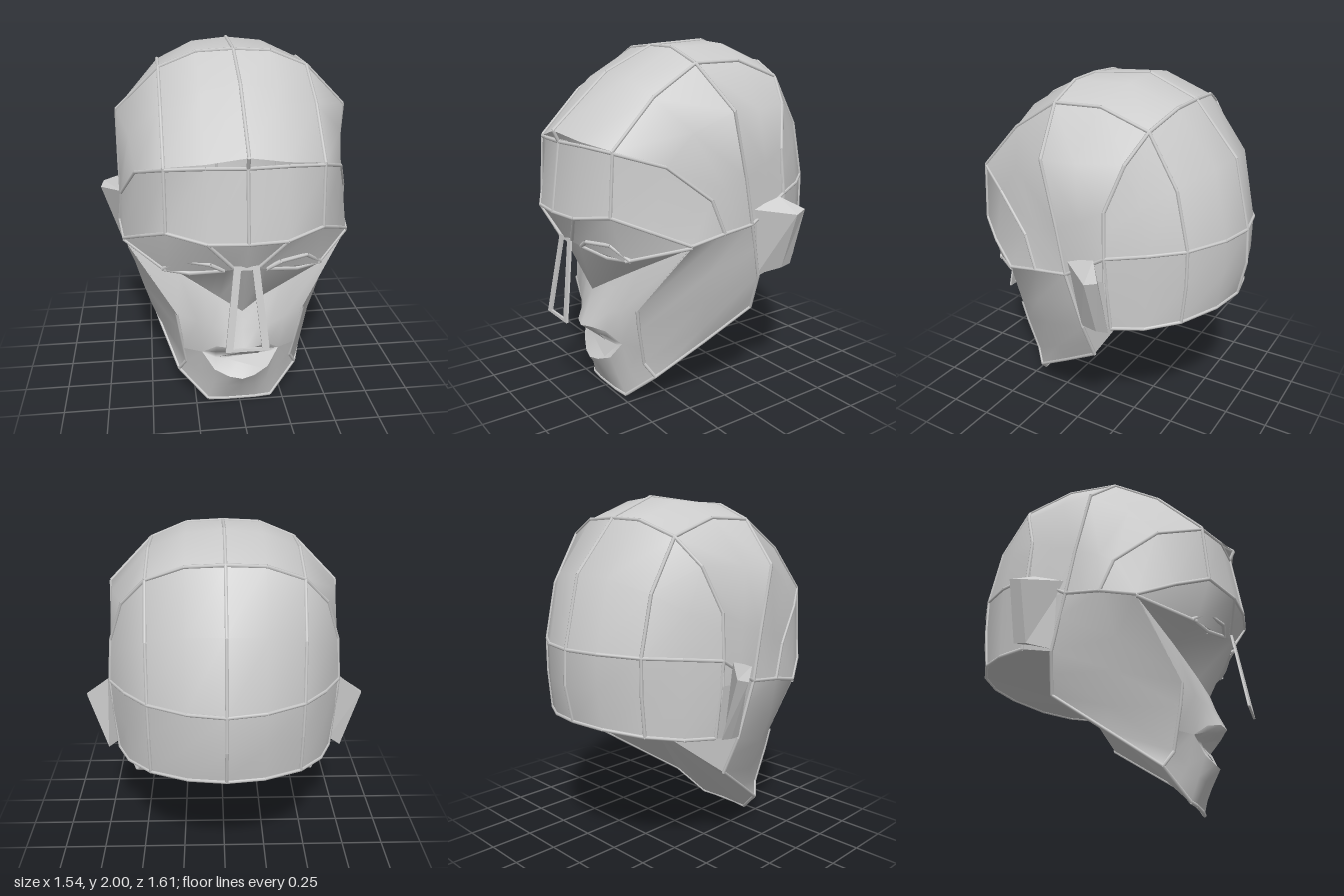
import * as THREE from 'three';
import { mergeGeometries } from 'three/addons/utils/BufferGeometryUtils.js';

const mat = new THREE.MeshStandardMaterial({ color: 0xcccccc, side: THREE.DoubleSide });
const flat = new THREE.MeshStandardMaterial({ color: 0xcccccc, side: THREE.DoubleSide, flatShading: true });
const flip = p => [-p[0], p[1], p[2]];
// half row (midline outwards) -> full row from right to left
const full = row => [...row.slice(1).reverse().map(flip), ...row];

// surface through rows of points
function grid(rows) {
  const n = rows[0].length, idx = [];
  for (let r = 0; r < rows.length - 1; r++)
    for (let c = 0; c < n - 1; c++) {
      const a = r * n + c, d = a + n;
      idx.push(a, a + 1, d + 1, a, d + 1, d);
    }
  const g = new THREE.BufferGeometry();
  g.setAttribute('position', new THREE.Float32BufferAttribute(rows.flat(2), 3));
  g.setIndex(idx);
  g.computeVertexNormals();
  return g;
}

// loose triangles from a list of corners
function triangles(points) {
  const g = new THREE.BufferGeometry();
  g.setAttribute('position', new THREE.Float32BufferAttribute(points.flat(), 3));
  g.computeVertexNormals();
  return g;
}

// thin raised bead along a polyline
function bead(points, r = 0.01) {
  const parts = [], up = new THREE.Vector3(0, 1, 0);
  for (let i = 0; i < points.length - 1; i++) {
    const a = new THREE.Vector3(...points[i]), b = new THREE.Vector3(...points[i + 1]);
    const d = b.clone().sub(a), len = d.length();
    if (len < 0.001) continue;
    const g = new THREE.CylinderGeometry(r, r, len, 6, 1, true);
    g.applyQuaternion(new THREE.Quaternion().setFromUnitVectors(up, d.normalize()));
    g.translate(...a.add(b).multiplyScalar(0.5).toArray());
    parts.push(g);
  }
  return mergeGeometries(parts);
}

export function createModel() {
  const head = new THREE.Group();
  head.name = 'head';
  const add = (name, geo, m = mat) => {
    const mesh = new THREE.Mesh(geo, m);
    mesh.name = name;
    head.add(mesh);
  };

  // skull ribs, each from the midline out and down the side
  const brow = [[0, 1.1, .79], [.2, 1.1, .77], [.4, 1.13, .67], [.52, 1.06, .51], [.62, .98, .33], [.645, 1.02, .14]];
  const hairline = [[0, 1.47, .74], [.2, 1.47, .72], [.4, 1.45, .65], [.54, 1.38, .43], [.625, 1.2, .21], [.645, 1.02, .14]];
  const peak = [[0, 1.53, .77], [.2, 1.49, .72], [.4, 1.46, .65], [.54, 1.38, .43], [.625, 1.2, .21], [.645, 1.02, .14]];
  const foreTop = [[0, 1.82, .45], [.2, 1.79, .44], [.4, 1.71, .41], [.57, 1.54, .29], [.635, 1.25, .13], [.645, 1.03, .05]];
  const crown = [[0, 1.96, .16], [.2, 1.95, .16], [.4, 1.87, .15], [.635, 1.64, .08], [.64, 1.3, 0], [.64, 1.04, -.05]];
  const vertex = [[0, 1.99, -.19], [.2, 1.97, -.18], [.4, 1.88, -.13], [.61, 1.64, -.1], [.635, 1.35, -.14], [.64, 1.04, -.17]];
  const rear = [[0, 1.88, -.46], [.2, 1.87, -.45], [.4, 1.79, -.4], [.53, 1.65, -.34], [.61, 1.42, -.27], [.63, 1.05, -.28]];
  const low = [[.61, .73, -.13], [.61, .75, -.21], [.6, .77, -.3]];

  add('foreheadBand', grid([brow, hairline].map(full)));
  add('foreheadTop', grid([peak, foreTop, crown].map(full)));
  add('skullTop', grid([crown, vertex, rear].map(full)));

  // back of the skull, top to nape
  const back = [
    rear.slice(0, 5),
    [[0, 1.6, -.7], [.2, 1.59, -.67], [.4, 1.52, -.56], [.53, 1.43, -.43], [.62, 1.31, -.28]],
    [[0, 1.22, -.79], [.2, 1.22, -.75], [.4, 1.21, -.63], [.53, 1.2, -.47], [.63, 1.18, -.28]],
    [[0, 1.03, -.8], [.2, 1.03, -.75], [.4, 1.02, -.63], [.53, 1, -.47], [.63, 1.02, -.28]],
    [[0, .83, -.76], [.2, .82, -.72], [.4, .8, -.61], [.53, .78, -.46], [.6, .77, -.3]],
  ];
  add('skullBackUpper', grid(back.slice(0, 3).map(full)));
  add('skullBackLower', grid(back.slice(2).map(full)));

  // face, top to bottom
  const underBrow = [[0, .95, .73], [.1, .92, .69], [.4, .89, .59], [.62, .97, .33]];
  const cheekLine = [[0, .62, .57], [.12, .69, .53], [.33, .81, .45], [.62, .97, .33]];
  const corner = [.215, .345, .51], mouthSide = [.315, .34, .45];
  const upperLip = [[0, .42, .65], [.07, .43, .63], [.14, .41, .57], corner];
  const lowerLip = [[0, .21, .6], [.07, .22, .585], [.15, .25, .55], corner];
  const cheeks = [
    [[0, .62, .57], [.12, .69, .53], [.23, .75, .49], [.33, .81, .45], [.62, .97, .33]],
    [[0, .53, .6], [.08, .52, .59], [.16, .53, .56], [.24, .55, .53], [.35, .58, .49]],
    [...upperLip, mouthSide],
  ];
  const lips = [
    upperLip,
    [[0, .38, .6], [.07, .385, .6], [.14, .375, .56], corner],
    [[0, .35, .51], [.07, .345, .52], [.14, .34, .51], corner],
    [[0, .3, .53], [.07, .3, .53], [.14, .31, .52], corner],
    lowerLip,
  ];
  const chin = [
    [...lowerLip, mouthSide],
    [[0, .13, .54], [.08, .13, .535], [.15, .14, .51], [.22, .18, .47], [.3, .24, .42]],
    [[0, .01, .48], [.09, .01, .48], [.18, .01, .47], [.26, .085, .42], [.34, .16, .37]],
  ];
  const browEdge = [brow[0], brow[1], brow[2], brow[4]];
  const faceGrid = rows => grid([...rows].reverse().map(full));
  add('browUnderside', faceGrid([browEdge, underBrow]));
  add('eyeSockets', faceGrid([underBrow, cheekLine]));
  add('cheeks', faceGrid(cheeks));
  add('lips', faceGrid(lips));
  add('chin', faceGrid(chin));
  // loose facets filling the mouth opening
  add('mouthFacets', triangles([
    [-.12, .32, .53], [.1, .34, .55], [.1, .4, .6],
    [-.1, .31, .53], [.12, .25, .57], [.2, .34, .53],
  ]), flat);

  // jaw panel, front edge to back edge
  const jaw = [
    [brow[4], [.645, 1.02, .14], crown[5]],
    [[.35, .58, .49], [.57, .78, .2], [.63, .9, -.09]],
    [[.333, .46, .47], [.53, .62, .17], [.61, .73, -.13]],
    [[.3, .24, .42], [.48, .45, .14], [.57, .62, -.15]],
    [[.34, .16, .37], [.44, .34, .11], [.53, .52, -.15]],
  ];
  // ear as a tapering wedge
  const earTop = [[.63, 1.12, -.05], [.77, 1.09, -.25], [.755, 1.11, -.32], [.65, 1.17, -.23]];
  const earLow = [[.61, .74, -.12], [.665, .77, -.25], [.66, .78, -.32], [.61, .78, -.24]];
  const templeSide = [crown, vertex, rear].map((r, i) => [r[5], low[i]]);

  for (const s of [1, -1]) {
    const side = s > 0 ? 'left' : 'right';
    const m = p => s > 0 ? p : flip(p);
    const turn = rows => rows.map(r => s > 0 ? [...r].reverse().map(m) : r.map(m));
    add(side + 'Jaw', grid(turn(jaw)));
    add(side + 'SkullSide', grid(turn(templeSide)));

    const loop = r => [...r, r[0]];
    const ear = mergeGeometries([
      grid(turn([loop(earTop), loop(earLow)])),
      grid(turn([[earTop[0], earTop[3]], [earTop[1], earTop[2]]])),
      grid(turn([[earLow[3], earLow[0]], [earLow[2], earLow[1]]])),
    ]);
    add(side + 'Ear', ear, flat);

    // eyelid outline set into the underside of the brow
    const lid = [[.11, .92, .685], [.18, .96, .695], [.33, .965, .635], [.42, .895, .572], [.28, .885, .622], [.11, .92, .685]];
    add(side + 'Eyelid', bead(lid.map(m), .012));
  }

  // flat underside fanned from one centre point
  const rim = [chin[2][0], chin[2][2], jaw[4][0], jaw[4][2], low[0], low[2], ...[...back[4]].reverse().slice(1)];
  const centre = [0, .64, -.16], fan = [];
  for (let i = 0; i < rim.length - 1; i++) {
    fan.push(centre, rim[i + 1], rim[i]);
    fan.push(centre, flip(rim[i]), flip(rim[i + 1]));
  }
  add('underside', triangles(fan), flat);

  // nose: thin open frame leaning forward
  const poly = (w1, y1, w2, y2) => [[-w1, y1], [-w2, y2], [w2, y2], [w1, y1]].map(p => new THREE.Vector2(...p));
  const shape = new THREE.Shape(poly(.065, .955, .115, .505));
  shape.holes.push(new THREE.Path(poly(.03, .935, .075, .52)));
  const nose = new THREE.ExtrudeGeometry(shape, { depth: .012, bevelEnabled: false });
  const p = nose.attributes.position;
  for (let i = 0; i < p.count; i++) p.setZ(i, p.getZ(i) + .715 + (.955 - p.getY(i)) * .15);
  nose.computeVertexNormals();
  add('noseFrame', nose, flat);

  // raised seams between panels
  const over = [brow, hairline, peak, foreTop, crown, vertex, rear, ...back.slice(1)];
  const seams = [
    over.map(r => r[0]), over.map(r => r[2]), over.map(r => flip(r[2])),
    ...[brow, hairline, rear, back[2], back[4]].map(full), full([...crown, low[0]]),
  ];
  const sideSeams = [
    [rear[4], back[2][4], back[4][4]],
    [[.645, 1.02, .14], crown[5]], [crown[5], back[2][4]],
    jaw.slice(1).map(r => r[0]), jaw[4], [jaw[2][2], jaw[4][2]], chin[2],
    [brow[1], [.07, .95, .72]], [underBrow[2], underBrow[3]],
  ];
  for (const seam of sideSeams) seams.push(seam, seam.map(flip));
  add('seams', mergeGeometries(seams.map(s => bead(s))));
  return head;
}
